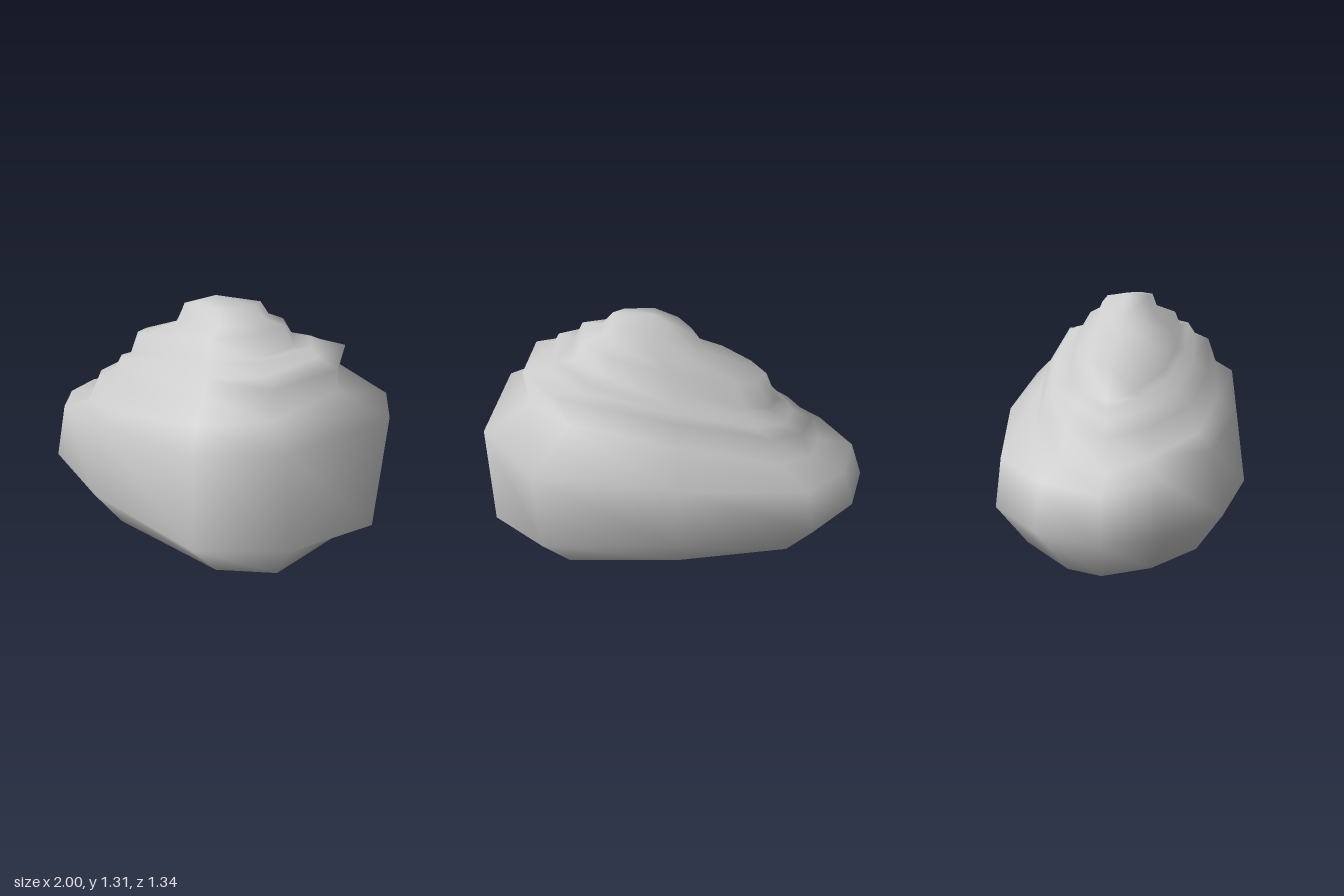
import * as THREE from 'three';

// Plan outline (x, z), scaled to -1..1 on both axes
const OUTLINE = [
  [-1, 0.24], [-0.9, -0.23], [-0.66, -0.63], [0, -0.91], [0.64, -1], [0.94, -0.5],
  [1, 0.4], [0.71, 0.87], [0, 1], [-0.52, 0.91], [-0.84, 0.6],
];

// Tilted contour rings from base to summit:
// left x, left y, right x, right y, back z, front z, back lift, front lift
const RINGS = [
  [-0.06, 0.01, 0.04, 0.01, -0.14, 0.31, -0.01, 0.01],
  [-0.84, 0.13, 0.86, 0.22, -0.49, 0.53, 0, -0.02],
  [-1.0, 0.32, 1.0, 0.45, -0.67, 0.67, 0.01, -0.02],
  [-0.93, 0.51, 0.93, 0.87, -0.65, 0.62, 0, 0.04],
  [-0.74, 0.56, 0.77, 0.95, -0.46, 0.52, 0.08, 0.03],
  [-0.69, 0.70, 0.76, 1.09, -0.42, 0.47, 0.05, 0.01],
  [-0.58, 0.75, 0.66, 1.10, -0.38, 0.39, 0.05, 0.04],
  [-0.56, 0.80, 0.63, 1.15, -0.34, 0.35, 0.02, 0.05],
  [-0.49, 0.83, 0.55, 1.13, -0.26, 0.31, 0.05, 0.05],
  [-0.43, 0.98, 0.50, 1.23, -0.23, 0.28, 0.01, 0.01],
  [-0.13, 1.11, 0.40, 1.24, -0.16, 0.17, 0.01, 0.02],
  [-0.08, 1.19, 0.34, 1.30, -0.12, 0.14, 0.02, 0.05],
];

// Irregular corners: ring, outline point, position
const CORNERS = [
  [1, 1, [-0.82, 0.14, -0.03]],
  [1, 7, [0.66, 0.2, 0.41]],
  [2, 5, [0.95, 0.32, -0.3]],
  [3, 4, [0.65, 0.8, -0.66]],
  [3, 5, [0.93, 0.87, -0.36]],
  [4, 10, [-0.6, 0.6, 0.29]],
  [5, 4, [0.57, 1.09, -0.42]],
  [5, 5, [0.76, 1.09, -0.18]],
  [11, 4, [0.29, 1.29, -0.12]],
  [11, 5, [0.34, 1.3, -0.04]],
  [11, 7, [0.29, 1.3, 0.13]],
  [11, 8, [0.14, 1.3, 0.14]],
];

function ringPoints([xl, yl, xr, yr, zb, zf, liftB, liftF]) {
  return OUTLINE.map(([u, v]) => {
    const t = (u + 1) / 2;
    return [
      xl + (xr - xl) * t,
      yl + (yr - yl) * t + (v < 0 ? liftB : liftF) * v * v,
      v < 0 ? -v * zb : v * zf,
    ];
  });
}

// Skin the rings and close both ends with a fan
function loft(rings, bottom, top) {
  const n = OUTLINE.length;
  const positions = [...rings.flat(), bottom, top].flat();
  const low = rings.length * n, high = low + 1, last = (rings.length - 1) * n;
  const index = [];
  for (let i = 0; i < n; i++) {
    const j = (i + 1) % n;
    for (let r = 0; r < rings.length - 1; r++) {
      const a = r * n + i, b = r * n + j;
      index.push(a, a + n, b + n, a, b + n, b);
    }
    index.push(low, i, j, high, last + j, last + i);
  }
  const geometry = new THREE.BufferGeometry();
  geometry.setAttribute('position', new THREE.Float32BufferAttribute(positions, 3));
  geometry.setIndex(index);
  geometry.computeVertexNormals();
  return geometry;
}

export function createModel() {
  const group = new THREE.Group();
  group.name = 'terracedRock';
  const rings = RINGS.map(ringPoints);
  for (const [ring, point, position] of CORNERS) rings[ring][point] = position;
  const rock = new THREE.Mesh(
    loft(rings, [0, 0, 0.08], [0.14, 1.31, 0.03]),
    new THREE.MeshStandardMaterial({ color: 0xcccccc }),
  );
  rock.name = 'rockBody';
  group.add(rock);
  return group;
}
